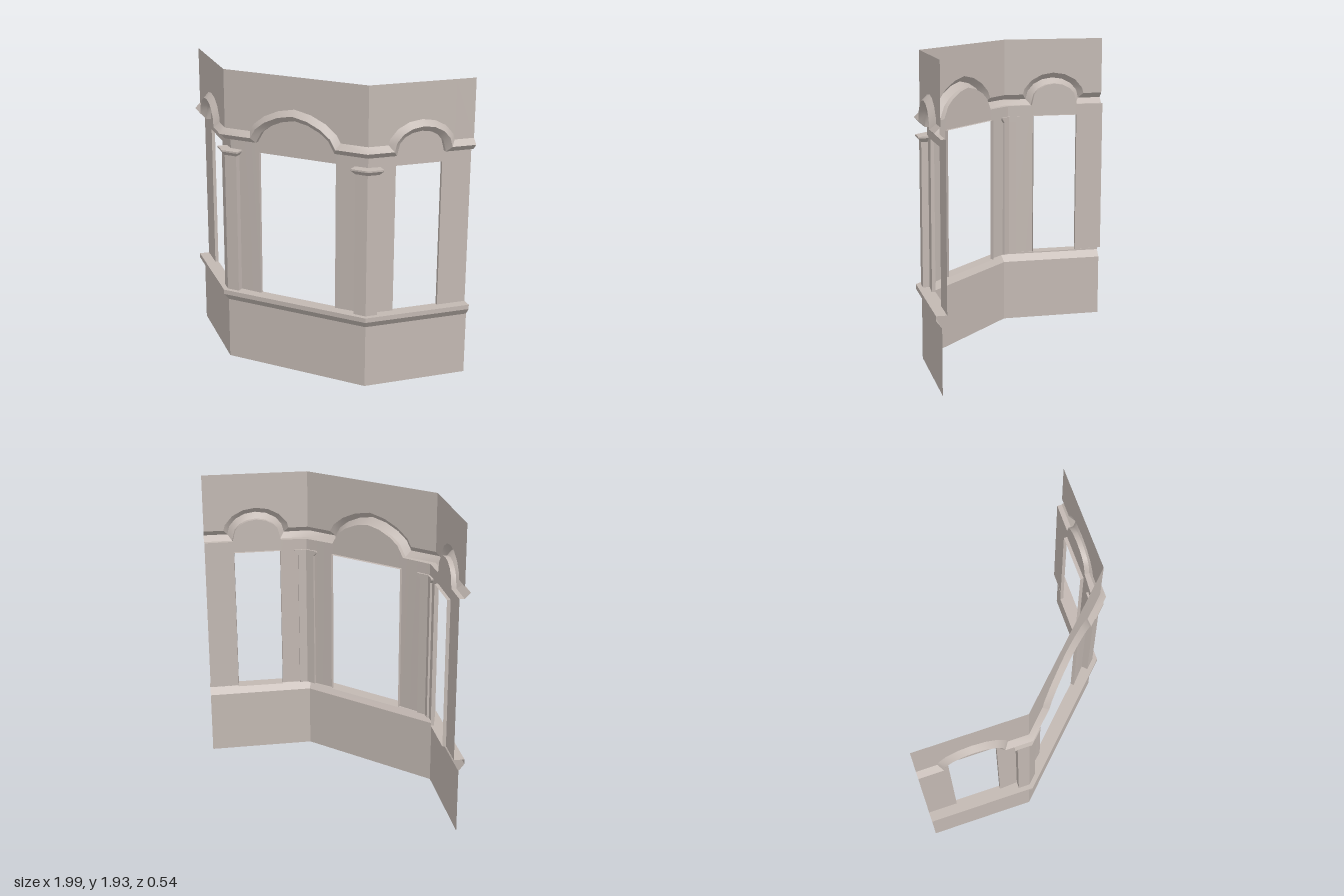
import * as THREE from 'three';
import { mergeGeometries, toCreasedNormals } from 'three/addons/utils/BufferGeometryUtils.js';

// Plan of the bay: s runs along the facade from its centre, bending 45 degrees at each corner
const CORNER = 0.49, END = 1.17, FRONT = 0.23, TOP = 1.93;
const SILL = 0.48, HEAD = 1.42, R = Math.SQRT1_2;
const near = (a, b) => Math.abs(a - b) < 1e-4;

// Point at distance s along the facade, height y, standing "off" outside the wall face
function at(s, y, off) {
  const a = Math.abs(s), g = Math.sign(s);
  if (near(a, CORNER)) return [g * (CORNER + off * Math.tan(Math.PI / 8)), y, FRONT + off];
  if (a < CORNER) return [s, y, FRONT + off];
  const t = (a - CORNER) * R;
  return [g * (CORNER + t + off * R), y, FRONT - t + off * R];
}
const recess = s => (near(Math.abs(s), CORNER) ? -0.04 : -0.03);

// Surface through rows of points: rows go along the facade, each row from top to bottom
function grid(rows) {
  const n = rows[0].length, index = [];
  for (let i = 0; i < rows.length - 1; i++) {
    for (let j = 0; j < n - 1; j++) {
      const a = i * n + j, b = a + n;
      index.push(a, a + 1, b + 1, a, b + 1, b);
    }
  }
  const geo = new THREE.BufferGeometry();
  geo.setAttribute('position', new THREE.Float32BufferAttribute(rows.flat(2), 3));
  geo.setIndex(index);
  return geo;
}

// Moulding line: flat runs with an arch over each window
function mouldingPath() {
  const base = 1.525;
  const half = [[0.1, 1.675], [0.19, 1.635], [0.255, 1.585], [0.29, base], [CORNER, base]];
  for (let i = 0; i <= 8; i++) {
    const a = Math.PI * (1 - i / 8);
    half.push([0.83 + 0.185 * Math.cos(a), base + 0.143 * Math.sin(a)]);
  }
  half.push([END, base]);
  return [...half.map(([s, y]) => [-s, y]).reverse(), [0, 1.695], ...half];
}

// Shift a path sideways with mitred joints
function shift(path, d) {
  return path.map((p, i) => {
    const a = path[Math.max(i - 1, 0)], b = path[Math.min(i + 1, path.length - 1)];
    const normal = (u, v) => new THREE.Vector2(u[1] - v[1], v[0] - u[0]).normalize();
    const n1 = i > 0 ? normal(a, p) : normal(p, b);
    const n2 = i < path.length - 1 ? normal(p, b) : n1;
    const m = n1.clone().add(n2).normalize();
    m.multiplyScalar(d / m.dot(n1));
    return [p[0] + m.x, p[1] + m.y];
  });
}

function heightOn(path, s) {
  for (let i = 1; i < path.length; i++) {
    const [a, b] = [path[i - 1], path[i]];
    if (s <= b[0] + 1e-5) return THREE.MathUtils.lerp(a[1], b[1], (s - a[0]) / (b[0] - a[0]));
  }
  return path[path.length - 1][1];
}

export function createModel() {
  const group = new THREE.Group();
  const stone = new THREE.MeshStandardMaterial({ color: 0xc2b8b2, side: THREE.DoubleSide });
  stone.name = 'warm grey stone';

  const add = (name, ...geos) => {
    const mesh = new THREE.Mesh(toCreasedNormals(mergeGeometries(geos), 0.6), stone);
    mesh.name = name;
    group.add(mesh);
  };

  const path = mouldingPath();
  const upper = shift(path, 0.035), lower = shift(path, -0.035);
  const stops = [-END, -CORNER, CORNER, END];

  // Base wall with its flared sill
  add('baseWall', grid(stops.map(s => [
    at(s, 0.405, 0), at(s, 0, 0),
  ])));
  add('sill', grid(stops.map(s => [
    at(s, SILL, recess(s)), at(s, SILL, 0.035), at(s, 0.45, 0.035), at(s, 0.405, 0),
  ])));

  // Plain wall above the moulding
  add('upperWall', grid(upper.map(([s, y]) => [at(s, TOP, 0), at(s, y, 0)])));

  // Pointed moulding and the soffit running back to the window wall
  add('archedMoulding', grid(path.map(([s, y], i) => [
    at(...upper[i], 0), at(s, y, 0.035), at(...lower[i], 0), at(...lower[i], recess(s)),
  ])));

  // Recessed window wall, open between sill and window head
  const windows = [[-0.98, -0.68], [-0.265, 0.265], [0.68, 0.98]];
  const cuts = [...lower.map(p => p[0]), ...windows.flat()]
    .sort((a, b) => a - b)
    .filter((s, i, all) => i === 0 || !near(s, all[i - 1]));
  const strips = [];
  for (let i = 1; i < cuts.length; i++) {
    const mid = (cuts[i - 1] + cuts[i]) / 2;
    const open = windows.some(([a, b]) => mid > a && mid < b);
    strips.push(grid([cuts[i - 1], cuts[i]].map(s => [
      at(s, heightOn(lower, s), recess(s)), at(s, open ? HEAD : SILL, recess(s)),
    ])));
  }
  add('windowWall', ...strips);

  // Reveals turning inward around each opening
  for (const [a, b] of windows) {
    const loop = [[a, SILL], [a, HEAD], [b, HEAD], [b, SILL], [a, SILL]];
    add('windowReveal', grid(loop.map(([s, y]) => [at(s, y, -0.03), at(s, y, -0.052)])));
  }

  // Bent pilasters with flared caps at both corners
  for (const side of [-1, 1]) {
    const back = -0.05, face = 0.005, a = -0.08, b = 0.072;
    const ring = [[a, back], [a, face], [0, face], [b, face], [b, back], [0, back], [a, back]];
    const levels = [[HEAD, 0.022], [1.41, 0.022], [1.385, 0], [SILL, 0]];
    const place = (d, off, y, grow) => at(
      side * (CORNER + d + Math.sign(d) * grow), y, off === face ? off + grow : off);
    const shaft = ring.map(([d, off]) => levels.map(([y, grow]) => place(d, off, y, grow)));
    const lid = [a, 0, b].map(d => [place(d, back, HEAD, 0.022), place(d, face, HEAD, 0.022)]);
    if (side < 0) {
      shaft.reverse();
      lid.reverse();
    }
    add(side < 0 ? 'rightPilaster' : 'leftPilaster', grid(shaft), grid(lid));
  }

  return group;
}
